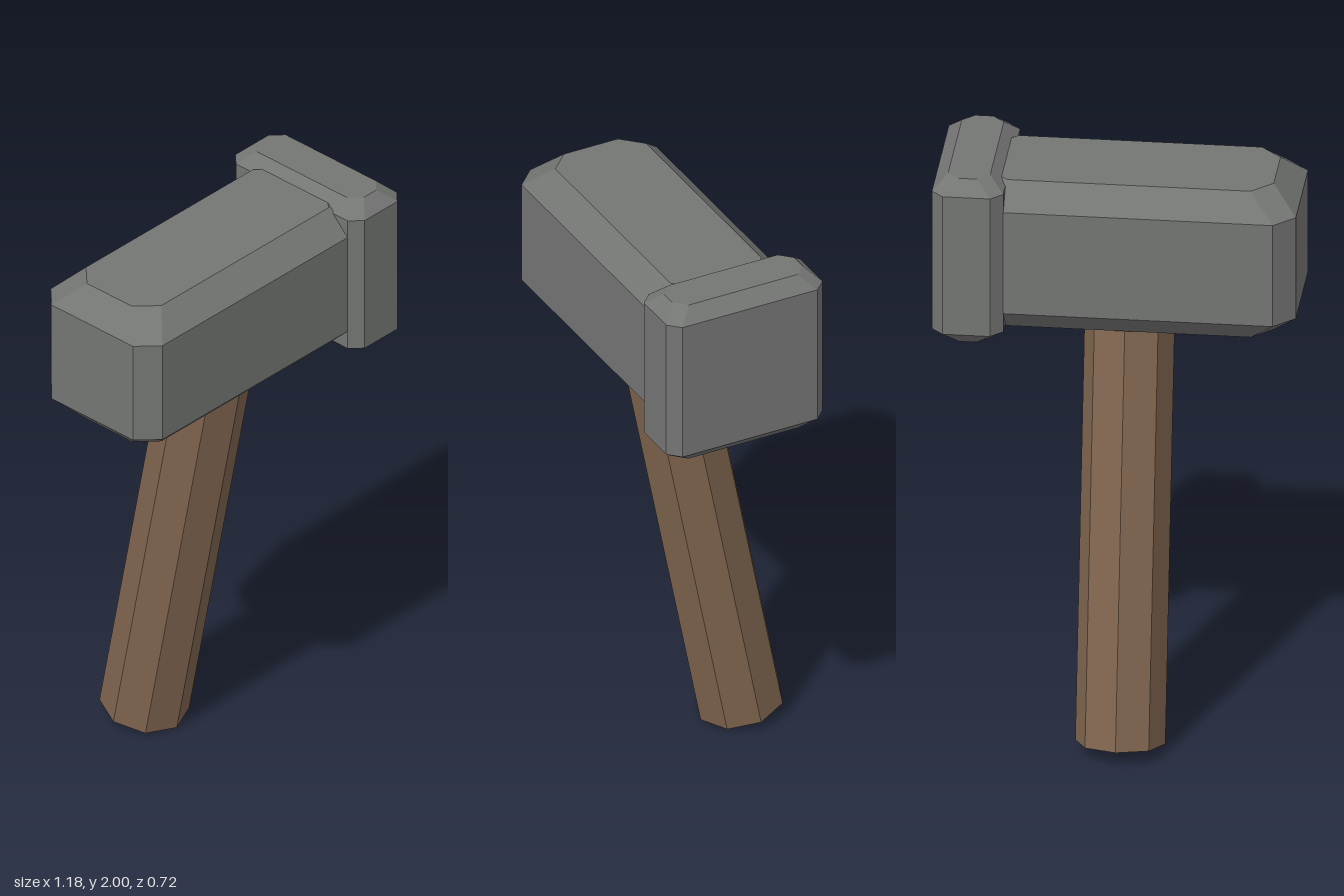
import * as THREE from 'three';
import { ConvexGeometry } from 'three/addons/geometries/ConvexGeometry.js';

// Block with every edge bevelled: four octagonal rings stacked in y.
// cut = bevel of the upright edges, inset/drop = bevel towards top and bottom.
function bevelledBlock([x0, x1], [y0, y1], [z0, z1], cut, inset, drop) {
  const points = [];
  const ring = (y, s) => {
    const [a, b, c, d] = [x0 + s, x1 - s, z0 + s, z1 - s];
    for (const [x, z] of [
      [a + cut, c], [b - cut, c], [b, c + cut], [b, d - cut],
      [b - cut, d], [a + cut, d], [a, d - cut], [a, c + cut],
    ]) points.push(new THREE.Vector3(x, y, z));
  };
  ring(y0, inset);
  ring(y0 + drop, 0);
  ring(y1 - drop, 0);
  ring(y1, inset);
  return new ConvexGeometry(points);
}

export function createModel() {
  const model = new THREE.Group();
  model.name = 'hammer';

  const stone = new THREE.MeshStandardMaterial({ color: 0x747674, flatShading: true });
  stone.name = 'grey head';
  const wood = new THREE.MeshStandardMaterial({ color: 0x80664f, flatShading: true });
  wood.name = 'brown wood';

  const add = (name, geometry, material) => {
    const mesh = new THREE.Mesh(geometry, material);
    mesh.name = name;
    model.add(mesh);
    return mesh;
  };

  // Long head and the wider striking face at its left end
  add('head', bevelledBlock([-0.592, 0.5], [1.445, 1.97], [-0.174, 0.322], 0.068, 0.081, 0.081), stone);
  add('strikingFace', bevelledBlock([0.355, 0.588], [1.414, 2.0], [-0.212, 0.362], 0.039, 0.048, 0.046), stone);

  // Eight-sided handle, leaning forward from its foot up into the head
  const length = 1.55;
  const shaft = new THREE.CylinderGeometry(0.147, 0.147, length, 8);
  shaft.translate(0, length / 2, 0);
  const handle = add('handle', shaft, wood);
  handle.position.set(-0.032, 0.029, -0.218);
  handle.rotation.x = 0.194;

  return model;
}
